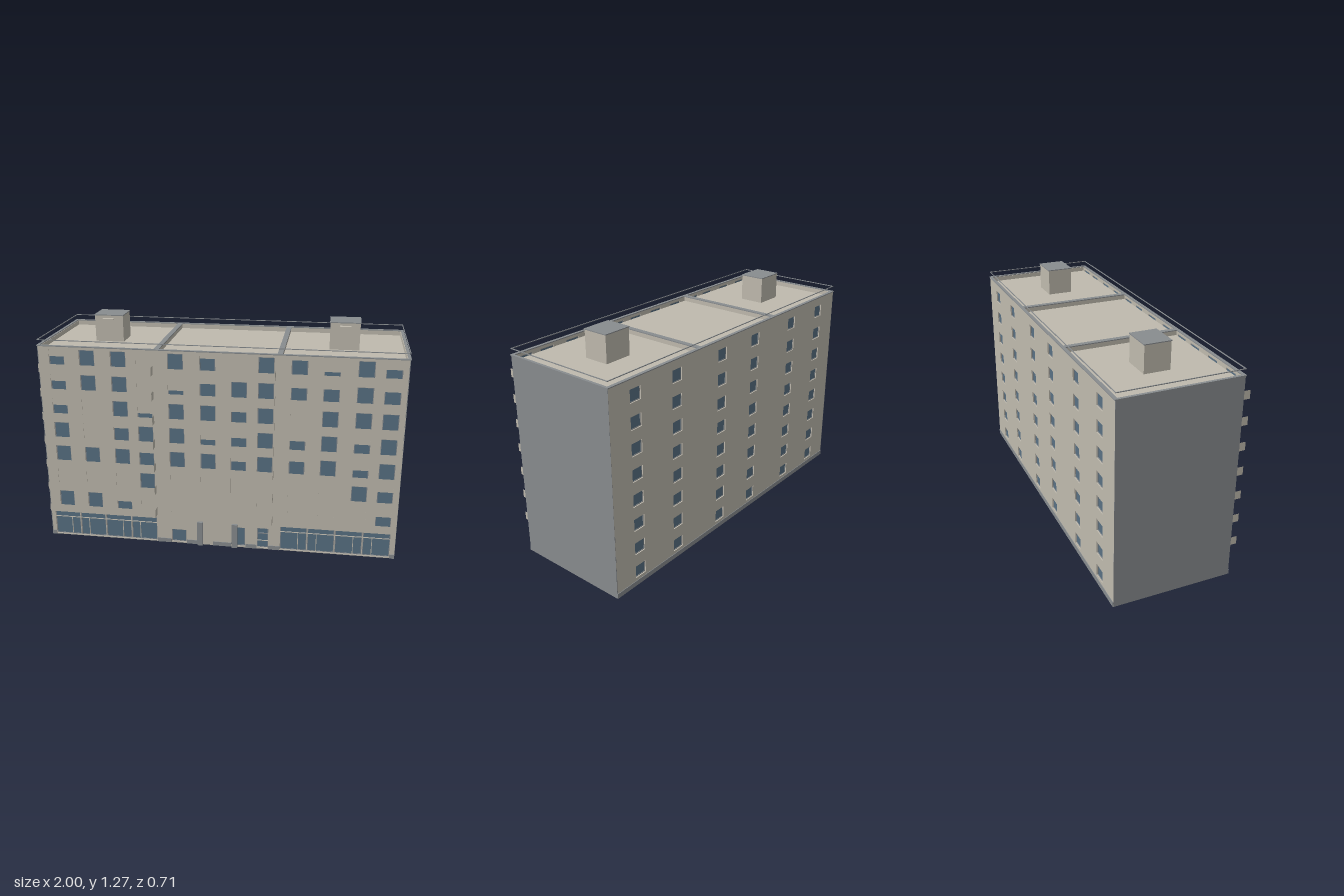
import * as THREE from 'three';

const mat = (name, color) => {
  const m = new THREE.MeshStandardMaterial({ color });
  m.name = name;
  return m;
};

export function createModel() {
  const root = new THREE.Group();
  root.name = 'apartmentBlock';
  const beige = mat('beige plaster', 0xbfbaae);
  const gray = mat('gray concrete', 0x888c8f);
  const glass = mat('blue glass', 0x587083);
  const beigeOpen = mat('beige balcony', 0xbfbaae);

  const add = (name, geo, m, parent = root) => {
    const mesh = new THREE.Mesh(geo, m);
    mesh.name = name;
    parent.add(mesh);
    return mesh;
  };
  // Box given by its lower and upper limits
  const box = (name, m, x0, x1, y0, y1, z0, z1, parent = root) => {
    const b = add(name, new THREE.BoxGeometry(x1 - x0, y1 - y0, z1 - z0), m, parent);
    b.position.set((x0 + x1) / 2, (y0 + y1) / 2, (z0 + z1) / 2);
    return b;
  };
  const rect = (P, x0, x1, y0, y1) => {
    const p = new P();
    p.moveTo(x0, y0); p.lineTo(x1, y0); p.lineTo(x1, y1); p.lineTo(x0, y1); p.closePath();
    return p;
  };
  // Flat plate with rectangular holes, z0..z0+depth
  const plate = (name, m, outer, holes, z0, depth, parent = root) => {
    const s = rect(THREE.Shape, ...outer);
    holes.forEach(h => s.holes.push(rect(THREE.Path, ...h)));
    const p = add(name, new THREE.ExtrudeGeometry(s, { depth, bevelEnabled: false }), m, parent);
    p.position.z = z0;
    return p;
  };

  const X = 0.995, ZF = 0.31, ZB = -0.353, T = 0.014, TOP = 1.145, ROOF = 1.12;
  const PITCH = 0.14;

  // Upper front windows: visible glass top per floor, 0 = shutter fully down
  const cols = [-0.89, -0.72, -0.545, -0.405, -0.23, -0.055, 0.115, 0.26, 0.435, 0.605, 0.78, 0.92];
  const openTo = [
    [0.28, 0.28, 0.24, 0, 0, 0, 0, 0, 0, 0, 0, 0.25],
    [0, 0, 0, 0.42, 0, 0, 0, 0, 0, 0, 0.42, 0.4],
    [0.57, 0.57, 0.57, 0.55, 0.57, 0.57, 0.53, 0.57, 0.55, 0.57, 0.52, 0.57],
    [0.71, 0, 0.69, 0.71, 0.71, 0.65, 0.67, 0.71, 0.67, 0.71, 0.67, 0.71],
    [0.81, 0, 0.85, 0.785, 0.85, 0.85, 0.82, 0.85, 0, 0.85, 0.85, 0.85],
    [0.95, 0.99, 0.99, 0, 0.925, 0.97, 0.985, 0.99, 0.97, 0.97, 0.99, 0.97],
    [1.09, 1.13, 1.13, 0, 1.13, 1.11, 0, 1.13, 1.12, 1.065, 1.13, 1.09],
  ];
  const frontHoles = [], shutters = [];
  openTo.forEach((row, k) => row.forEach((open, c) => {
    const top = 0.285 + k * 0.141, bottom = top - 0.105;
    const h = [cols[c] - 0.043, cols[c] + 0.043, bottom, top];
    frontHoles.push(h);
    const edge = Math.max(open, bottom);
    if (top - edge > 0.008) shutters.push([h[0], h[1], edge, top]);
  }));

  // Ground floor openings: four shop panes each side, entrance in the middle
  const shopPanes = [];
  for (const start of [-0.97, 0.355])
    for (let i = 0; i < 4; i++) {
      const x = start + i * 0.154;
      shopPanes.push([x, x + 0.15, 0.006, 0.152]);
    }
  const entrance = [[-0.272, -0.186, 0.008, 0.085], [0.078, 0.156, 0.008, 0.125], [0.224, 0.288, 0.008, 0.13]];
  frontHoles.push(...shopPanes, ...entrance);

  // Rear windows
  const backHoles = [];
  for (const x of [-0.82, -0.52, -0.15, 0.15, 0.52, 0.82])
    for (let i = 0; i < 8; i++) {
      const y = 0.08 + i * PITCH;
      backHoles.push([x - 0.037, x + 0.037, y - 0.035, y + 0.035]);
    }

  // Shell: long walls, gable walls, roof deck
  plate('frontWall', beige, [-X, X, 0, TOP], frontHoles, ZF - T, T);
  plate('backWall', beige, [-X, X, 0, TOP], backHoles, ZB, T);
  for (const s of [-1, 1]) {
    const g = box('gableWall', gray, -0.002, 0.002, 0, TOP, ZB, ZF);
    g.position.x = s * (X - 0.001);
    const p = box('gableParapet', beige, -0.005, 0.005, ROOF, TOP, ZB + T, ZF - T);
    p.position.x = s * (X - 0.008);
  }
  box('roofDeck', beige, -X + 0.003, X - 0.003, ROOF - 0.008, ROOF, ZB + T, ZF - T);

  // Glass and slim frames inside each opening
  const glaze = (group, holes, z) => {
    const g = new THREE.Group();
    g.name = group;
    root.add(g);
    for (const h of holes) {
      const [x0, x1, y0, y1] = h;
      box('pane', glass, x0, x1, y0, y1, z - 0.001, z + 0.001, g);
      plate('windowFrame', gray, h, [[x0 + 0.004, x0 + 0.004 + (x1 - x0 - 0.008), y0 + 0.004, y1 - 0.004]],
        z - 0.003, 0.006, g);
    }
  };
  glaze('frontWindows', frontHoles, ZF - 0.009);
  glaze('backWindows', backHoles, ZB + 0.009);
  shutters.forEach(([x0, x1, y0, y1]) => box('shutter', beige, x0, x1, y0, y1, ZF - 0.006, ZF - 0.003));

  // Shopfront glazing bars
  shopPanes.forEach(([x0, x1], i) => {
    box('transom', beige, x0, x1, 0.115, 0.119, ZF - 0.006, ZF - 0.002);
    const xm = x0 + (i % 2 ? 0.05 : 0.1);
    box('mullion', beige, xm - 0.002, xm + 0.002, 0.006, 0.117, ZF - 0.006, ZF - 0.002);
  });
  box('doorBar', gray, 0.224, 0.288, 0.095, 0.1, ZF - 0.006, ZF - 0.002);
  box('doorBar', beige, 0.224, 0.288, 0.05, 0.054, ZF - 0.006, ZF - 0.002);

  // Entrance fins
  for (const x of [-0.104, 0.096]) box('entranceFin', gray, x - 0.016, x + 0.016, 0, 0.146, ZF, 0.326);

  // Plinth
  box('backPlinth', gray, -X, X, 0, 0.028, ZB - 0.003, ZB);
  for (const [a, b] of [[-X, -0.971], [-0.356, -0.274], [-0.184, -0.12], [-0.03, 0.076], [0.158, 0.222],
    [0.29, 0.353], [0.968, X]])
    box('frontPlinth', gray, a, b, 0, 0.024, ZF, ZF + 0.004);

  // Balconies: open-topped troughs with front, ends and underside
  const balcony = (x0, x1, y0) => {
    const g = new THREE.Group();
    g.name = 'balcony';
    root.add(g);
    const w = x1 - x0, h = 0.047, d = 0.045;
    const front = add('balconyFront', new THREE.PlaneGeometry(w, h), beigeOpen, g);
    front.position.z = d;
    for (const s of [-1, 1]) {
      const end = add('balconyEnd', new THREE.PlaneGeometry(d, h), beigeOpen, g);
      end.rotation.y = s * Math.PI / 2;
      end.position.set(s * w / 2, 0, d / 2);
    }
    const under = add('balconyUnderside', new THREE.PlaneGeometry(w, d), beigeOpen, g);
    under.rotation.x = Math.PI / 2;
    under.position.set(0, -h / 2, d / 2);
    g.position.set((x0 + x1) / 2, y0 + h / 2, ZF);
  };
  for (let k = 0; k < 7; k++)
    for (const [a, b] of [[-0.98, -0.354], [-0.318, 0.31], [0.346, 0.974]]) balcony(a, b, 0.172 + k * PITCH);

  // Parapet coping, party-wall upstands and thin perimeter rail
  const CY = TOP + 0.005;
  for (const [z0, z1] of [[ZF - 0.014, ZF + 0.003], [ZB - 0.004, ZB + 0.014]])
    box('coping', gray, -1, 1, TOP, CY, z0, z1);
  for (const s of [-1, 1]) {
    const c = box('coping', gray, -0.0075, 0.0075, TOP, CY, ZB + 0.014, ZF - 0.014);
    c.position.x = s * 0.9925;
  }
  for (const x of [-0.334, 0.33]) {
    box('partyUpstand', beige, x - 0.011, x + 0.011, ROOF, TOP, ZB + T, ZF - T);
    box('partyCoping', gray, x - 0.014, x + 0.014, TOP, CY, ZB + 0.014, ZF - 0.014);
  }
  for (const z of [ZF, ZB + 0.003]) box('rail', gray, -X, X, 1.178, 1.182, z - 0.002, z + 0.002);
  for (const x of [-X + 0.002, X - 0.002])
    box('rail', gray, x - 0.002, x + 0.002, 1.178, 1.182, ZB + 0.005, ZF - 0.002);

  // Rooftop stair houses
  for (const x of [-0.663, 0.66]) {
    box('stairHouse', beige, x - 0.081, x + 0.081, ROOF, 1.268, -0.093, 0.05);
    box('stairHouseRoof', gray, x - 0.084, x + 0.084, 1.268, 1.273, -0.096, 0.053);
    box('doorCanopy', beige, x - 0.03, x + 0.03, 1.249, 1.254, 0.05, 0.076);
  }
  return root;
}
